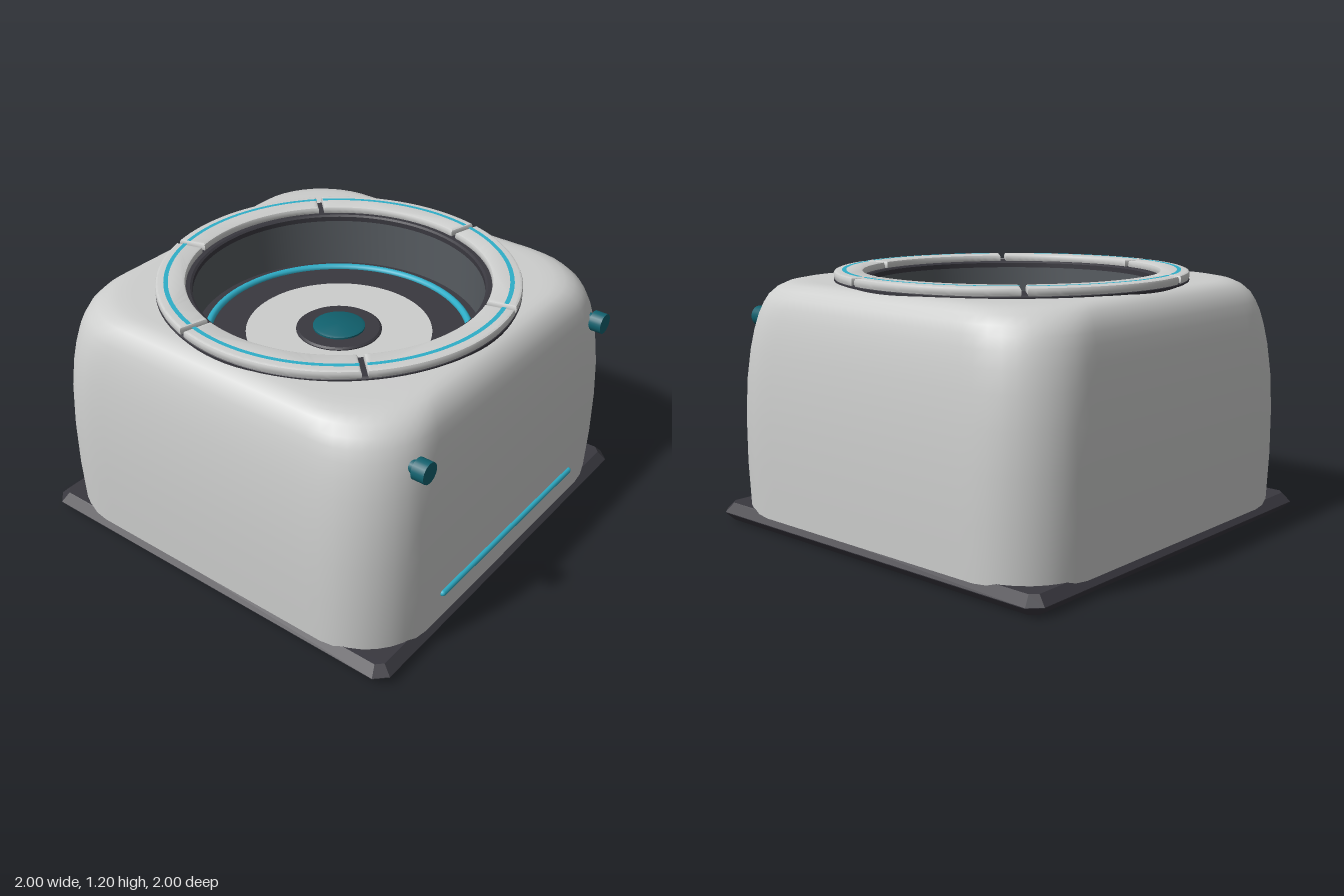
import * as THREE from 'three';
import { toCreasedNormals } from 'three/addons/utils/BufferGeometryUtils.js';

const mat = (name, color, side = THREE.FrontSide) => {
  const m = new THREE.MeshStandardMaterial({ color, side });
  m.name = name;
  return m;
};

// Distance from the centre to a rounded square (half width h, corner radius r) at angle t
function roundedSquare(h, r, t) {
  const a = Math.abs(Math.cos(t)), b = Math.abs(Math.sin(t));
  const big = Math.max(a, b), small = Math.min(a, b), c = h - r;
  if (h * small / big <= c) return h / big;
  const p = c * (a + b);
  return p + Math.sqrt(p * p - 2 * c * c + r * r);
}

// Skin through loops of [height, half width, corner radius]
function loftShell(loops, n) {
  const pos = [], index = [];
  loops.forEach(([y, h, r]) => {
    for (let i = 0; i < n; i++) {
      const t = i / n * Math.PI * 2, d = roundedSquare(h, r, t);
      pos.push(d * Math.cos(t), y, d * Math.sin(t));
    }
  });
  for (let j = 0; j < loops.length - 1; j++) {
    for (let i = 0; i < n; i++) {
      const k = (i + 1) % n, a = j * n + i, b = j * n + k, c = a + n, d = b + n;
      index.push(a, c, b, b, c, d);
    }
  }
  const g = new THREE.BufferGeometry();
  g.setAttribute('position', new THREE.Float32BufferAttribute(pos, 3));
  g.setIndex(index);
  g.computeVertexNormals();
  return g;
}

const lathe = (points) => toCreasedNormals(
  new THREE.LatheGeometry(points.map(([r, y]) => new THREE.Vector2(r, y)), 96), 0.6);

export function createModel() {
  const model = new THREE.Group();
  const shellGrey = mat('shellGrey', 0xcdcecd);
  const charcoal = mat('charcoal', 0x39383f);
  const slate = mat('slate', 0x565b60);
  const teal = mat('darkTeal', 0x11616e);
  const cyan = mat('cyan', 0x2eaec8);

  const add = (name, geometry, material, x = 0, y = 0, z = 0, parent = model) => {
    const m = new THREE.Mesh(geometry, material);
    m.name = name;
    m.position.set(x, y, z);
    parent.add(m);
    return m;
  };

  // Base plate with bevelled rim and clipped corners
  const e = 0.96, k = 0.93;
  const plate = new THREE.Shape([[e, -k], [e, k], [k, e], [-k, e], [-e, k], [-e, -k], [-k, -e], [k, -e]]
    .map(([x, y]) => new THREE.Vector2(x, y)));
  const plateGeo = new THREE.ExtrudeGeometry(plate, {
    depth: 0.003, bevelEnabled: true, bevelSegments: 1, bevelSize: 0.04, bevelThickness: 0.041,
  });
  plateGeo.rotateX(-Math.PI / 2);
  add('basePlate', plateGeo, charcoal, 0, 0.041, 0);

  // Soft square body, closing on the round well
  add('body', loftShell([
    [0.05, 0.978, 0.32], [0.3, 0.985, 0.32], [0.52, 0.984, 0.32], [0.7, 0.976, 0.32],
    [0.84, 0.963, 0.325], [0.93, 0.95, 0.33], [1.0, 0.936, 0.335], [1.05, 0.921, 0.34],
    [1.09, 0.904, 0.345], [1.125, 0.876, 0.35], [1.146, 0.845, 0.36], [1.155, 0.81, 0.37],
    [1.157, 0.77, 0.4], [1.157, 0.67, 0.67],
  ], 128), shellGrey);

  // Round well and its stepped floor
  add('wellWall', lathe([[0.67, 0.9], [0.67, 1.16]].reverse()), slate).material.side = THREE.DoubleSide;
  const disc = (name, inner, outer, y, material) => {
    const g = new THREE.RingGeometry(inner, outer, 96);
    g.rotateX(-Math.PI / 2);
    add(name, g, material, 0, y, 0);
  };
  disc('wellFloor', 0.42, 0.672, 0.905, charcoal);
  disc('floorPanel', 0.19, 0.435, 0.91, shellGrey);
  const glow = new THREE.TorusGeometry(0.612, 0.018, 10, 96);
  glow.rotateX(Math.PI / 2);
  add('floorLightRing', glow, cyan, 0, 0.908, 0);
  add('centreSocket', lathe([[0.2, 0.9], [0.2, 0.915], [0.19, 0.922], [0, 0.922]]), charcoal);
  add('centreLens', lathe([[0.122, 0.915], [0.122, 0.93], [0.11, 0.936], [0, 0.938]]), teal);

  // Collar under the rim
  add('rimCollar', lathe([[0.665, 1.14], [0.83, 1.14], [0.83, 1.163], [0.82, 1.17],
    [0.675, 1.17], [0.665, 1.163], [0.665, 1.14]]), charcoal);

  // Six rim segments, each with an inlaid light strip
  const rim = new THREE.Group();
  rim.name = 'rim';
  model.add(rim);
  const ro = 0.818, ri = 0.706, gap = 0.025, bevel = 0.012;
  const half = Math.PI / 6;
  const arc = new THREE.Shape();
  arc.absarc(0, 0, ro, -half + gap / ro, half - gap / ro, false);
  arc.absarc(0, 0, ri, half - gap / ri, -half + gap / ri, true);
  const segment = toCreasedNormals(new THREE.ExtrudeGeometry(arc, {
    depth: 0.016, bevelEnabled: true, bevelSegments: 2, bevelSize: bevel, bevelThickness: bevel, curveSegments: 20,
  }).rotateX(-Math.PI / 2), 0.5);
  const stripGap = 0.016 / 0.78;
  const strip = new THREE.RingGeometry(0.772, 0.792, 20, 1, -half + stripGap, 2 * (half - stripGap))
    .rotateX(-Math.PI / 2);
  for (let i = 0; i < 6; i++) {
    const turn = Math.PI / 12 * 5 + i * Math.PI / 3;
    add('rimSegment', segment, shellGrey, 0, 1.174, 0, rim).rotation.y = turn;
    add('rimLightStrip', strip, cyan, 0, 1.2045, 0, rim).rotation.y = turn;
  }

  // Front knobs on short stems
  for (const side of [-1, 1]) {
    const knob = new THREE.Group();
    knob.name = side > 0 ? 'leftKnob' : 'rightKnob';
    knob.position.set(side * 0.715, 0.96, 0);
    model.add(knob);
    add('knobCap', new THREE.CylinderGeometry(0.048, 0.048, 0.06, 24).rotateX(Math.PI / 2), teal, 0, 0, 0.968, knob);
    add('knobStem', new THREE.CylinderGeometry(0.03, 0.03, 0.08, 16).rotateX(Math.PI / 2), teal, 0, 0, 0.91, knob);
  }

  // Front light bar
  add('frontLightBar', new THREE.CapsuleGeometry(0.015, 1.09, 6, 12).rotateZ(Math.PI / 2), cyan, 0, 0.21, 0.985);

  return model;
}
